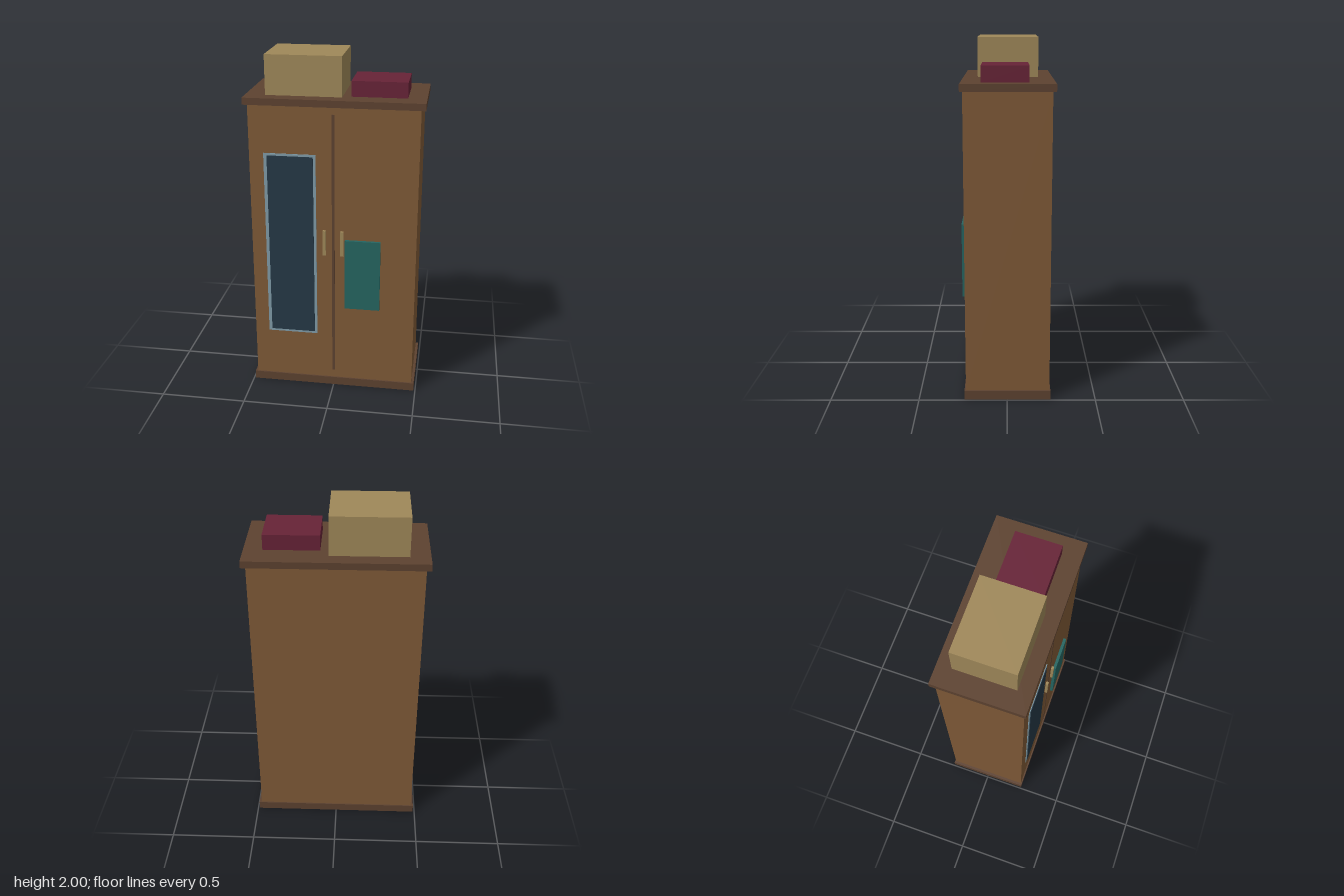
import * as THREE from 'three';

const mat = (name, color) => {
  const m = new THREE.MeshStandardMaterial({ color });
  m.name = name;
  return m;
};

export function createModel() {
  const group = new THREE.Group();
  group.name = 'wardrobe';

  const wood = mat('wood', 0x7f5a37);
  const darkWood = mat('dark wood', 0x5d4230);
  const card = mat('cardboard and brass', 0x9f8859);
  const red = mat('dark red', 0x672337);
  const teal = mat('teal cloth', 0x256561);
  const glass = mat('mirror glass', 0x253846);
  const frame = mat('mirror frame', 0x809ca8);

  // Box given by its lower and upper limits on each axis
  const box = (name, material, [x0, x1], [y0, y1], [z0, z1]) => {
    const mesh = new THREE.Mesh(new THREE.BoxGeometry(x1 - x0, y1 - y0, z1 - z0), material);
    mesh.position.set((x0 + x1) / 2, (y0 + y1) / 2, (z0 + z1) / 2);
    mesh.name = name;
    group.add(mesh);
  };

  // Cabinet
  box('plinth', darkWood, [-0.49, 0.49], [0, 0.05], [-0.246, 0.242]);
  box('cabinet', wood, [-0.475, 0.475], [0.05, 1.738], [-0.24, 0.234]);
  box('cornice', darkWood, [-0.5, 0.5], [1.738, 1.777], [-0.258, 0.249]);

  // Doors: seam, handles and mirror
  box('doorSeam', darkWood, [-0.008, 0.008], [0.1, 1.697], [0.23, 0.237]);
  for (const side of [-1, 1]) {
    const x = side * 0.051;
    box(side < 0 ? 'rightHandle' : 'leftHandle', card, [x - 0.009, x + 0.009], [0.868, 1.02], [0.232, 0.249]);
  }
  box('mirrorFrame', frame, [-0.393, -0.098], [0.347, 1.466], [0.23, 0.238]);
  box('mirrorGlass', glass, [-0.374, -0.113], [0.361, 1.453], [0.234, 0.241]);

  // Cloth hanging on the left door
  box('hangingCloth', teal, [0.069, 0.273], [0.539, 0.97], [0.241, 0.258]);

  // Boxes stored on top
  box('largeBox', card, [-0.388, 0.04], [1.777, 2], [-0.177, 0.167]);
  box('smallBox', red, [0.087, 0.396], [1.777, 1.864], [-0.118, 0.14]);

  return group;
}
